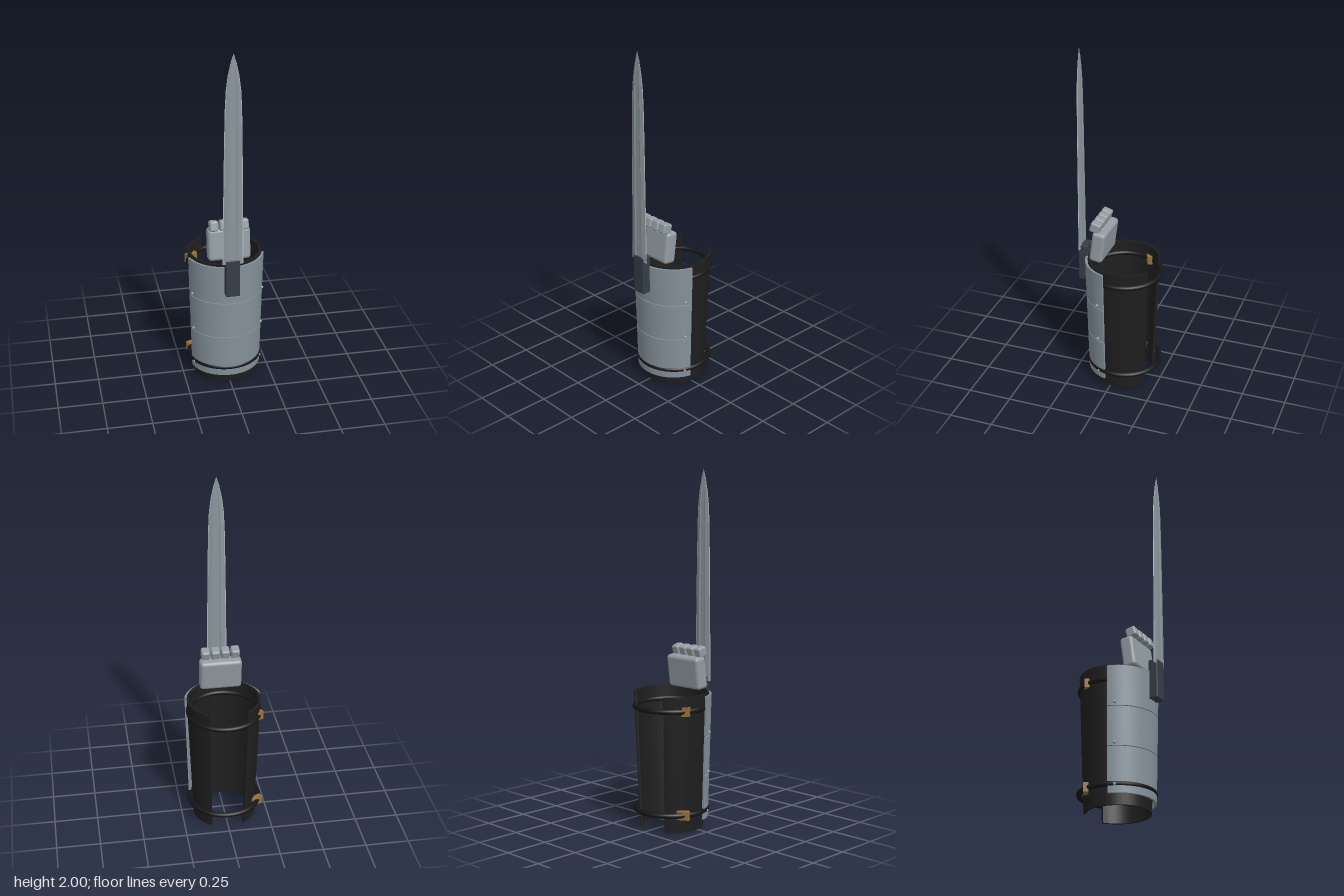
import * as THREE from 'three';
import { toCreasedNormals } from 'three/addons/utils/BufferGeometryUtils.js';
import { RoundedBoxGeometry } from 'three/addons/geometries/RoundedBoxGeometry.js';

const mat = (name, color, side = THREE.FrontSide) => {
  const m = new THREE.MeshStandardMaterial({ color, side });
  m.name = name;
  return m;
};

const AXIS_Z = -0.025; // centre line of the forearm

export function createModel() {
  const root = new THREE.Group();
  const leather = mat('black leather', 0x1e1e1e, THREE.DoubleSide);
  const strapMat = mat('strap black', 0x161616);
  const steel = mat('plate steel', 0x84919a, THREE.DoubleSide);
  const bladeMat = mat('blade steel', 0x8a969c);
  const edgeMat = mat('sharpened edge', 0xb4bcc0);
  const gauntlet = mat('gauntlet grey', 0x929ca2);
  const housing = mat('dark housing', 0x353d47);
  const brass = mat('brass', 0x95723a);

  const add = (name, geo, material, x = 0, y = 0, z = 0, parent = root) => {
    const m = new THREE.Mesh(geo, material);
    m.name = name;
    m.position.set(x, y, z);
    parent.add(m);
    return m;
  };

  // Tapered curved wall, open at the back, with closed ends
  const shell = (name, y0, y1, r0, r1, thick, half, material) => {
    const g = new THREE.Group();
    g.name = name;
    g.position.z = AXIS_Z;
    const p = [[r0, y0], [r1, y1], [r1 - thick, y1], [r0 - thick, y0], [r0, y0]]
      .map(([x, y]) => new THREE.Vector2(x, y));
    const wall = new THREE.LatheGeometry(p, 40, -half, half * 2);
    add(name + 'Wall', toCreasedNormals(wall, 0.6), material, 0, 0, 0, g);
    for (const s of [-1, 1]) {
      const cap = new THREE.ShapeGeometry(new THREE.Shape(p.slice(0, 4)));
      add(name + 'End', cap, material, 0, 0, 0, g).rotation.y = s * half - Math.PI / 2;
    }
    root.add(g);
  };

  // Leather sleeve
  shell('leatherSleeve', 0, 0.77, 0.18, 0.21, 0.014, Math.PI - 0.56, leather);

  // Three armour plates around the front, with rivets on both sides
  const plateR = (y) => 0.207 + (y - 0.055) * 0.0255;
  [[0.055, 0.306], [0.31, 0.528], [0.532, 0.76]].forEach(([a, b]) => {
    shell('armourPlate', a, b, plateR(a), plateR(b), 0.012, 1.31, steel);
  });
  for (const y of [0.1, 0.325, 0.55]) {
    for (const s of [-1, 1]) {
      const r = plateR(y) + 0.003;
      add('rivet', new THREE.SphereGeometry(0.009, 10, 8), gauntlet,
        s * r * Math.sin(1.13), y, AXIS_Z + r * Math.cos(1.13));
    }
  }

  // Straps and buckles
  for (const y of [0.105, 0.69]) {
    const ring = new THREE.TorusGeometry(0.202, 0.015, 10, 48).rotateX(Math.PI / 2);
    add('strap', ring, strapMat, 0, y, -0.029);
    add('buckle', new THREE.BoxGeometry(0.07, 0.05, 0.028), brass, -0.178, y, -0.113).rotation.y = 0.49;
  }

  // Armoured fist
  add('palm', new RoundedBoxGeometry(0.24, 0.185, 0.078, 3, 0.02), gauntlet, 0, 0.868, 0.1).rotation.x = -0.13;
  for (let i = 0; i < 4; i++) {
    add('finger', new RoundedBoxGeometry(0.05, 0.06, 0.06, 3, 0.012), gauntlet,
      -0.087 + i * 0.0567, 0.985, 0.116).rotation.x = -0.28;
  }

  // Blade housing
  add('bladeHousing', new RoundedBoxGeometry(0.08, 0.225, 0.055, 2, 0.006), housing, 0, 0.7125, 0.2145);

  // Blade: grooved cross-section lofted to the tip; outer strips are the cutting edges
  const half = [[-1, 0], [-0.92, 0.25], [-0.45, 1], [-0.3, 0.55], [0, 0.55],
    [0.3, 0.55], [0.45, 1], [0.92, 0.25]];
  const section = [...half, ...half.map(([x, z]) => [-x, -z])];
  const stations = [[0.8, 0.059], [1.2, 0.054], [1.5, 0.05], [1.7, 0.046], [1.8, 0.041],
    [1.88, 0.031], [1.95, 0.016], [2, 0.0005]];
  const n = section.length;
  const point = (k, i) => {
    const [y, w] = stations[k];
    const [fx, fz] = section[i % n];
    return [fx * w, y, fz * 0.009 * Math.min(1, w / 0.05)];
  };
  const body = [], edges = [];
  for (let i = 0; i < n; i++) {
    const out = [0, 7, 8, 15].includes(i) ? edges : body;
    for (let k = 0; k < stations.length - 1; k++) {
      const a = point(k, i), b = point(k, i + 1), c = point(k + 1, i + 1), d = point(k + 1, i);
      out.push(...a, ...b, ...c, ...a, ...c, ...d);
    }
    body.push(...point(0, i + 1), ...point(0, i), 0, stations[0][0], 0);
  }
  const blade = new THREE.Group();
  blade.name = 'blade';
  blade.position.z = 0.232;
  root.add(blade);
  const loft = (name, pos, material) => {
    const g = new THREE.BufferGeometry();
    g.setAttribute('position', new THREE.Float32BufferAttribute(pos, 3));
    g.computeVertexNormals();
    add(name, g, material, 0, 0, 0, blade);
  };
  loft('bladeBody', body, bladeMat);
  loft('bladeEdges', edges, edgeMat);

  return root;
}
